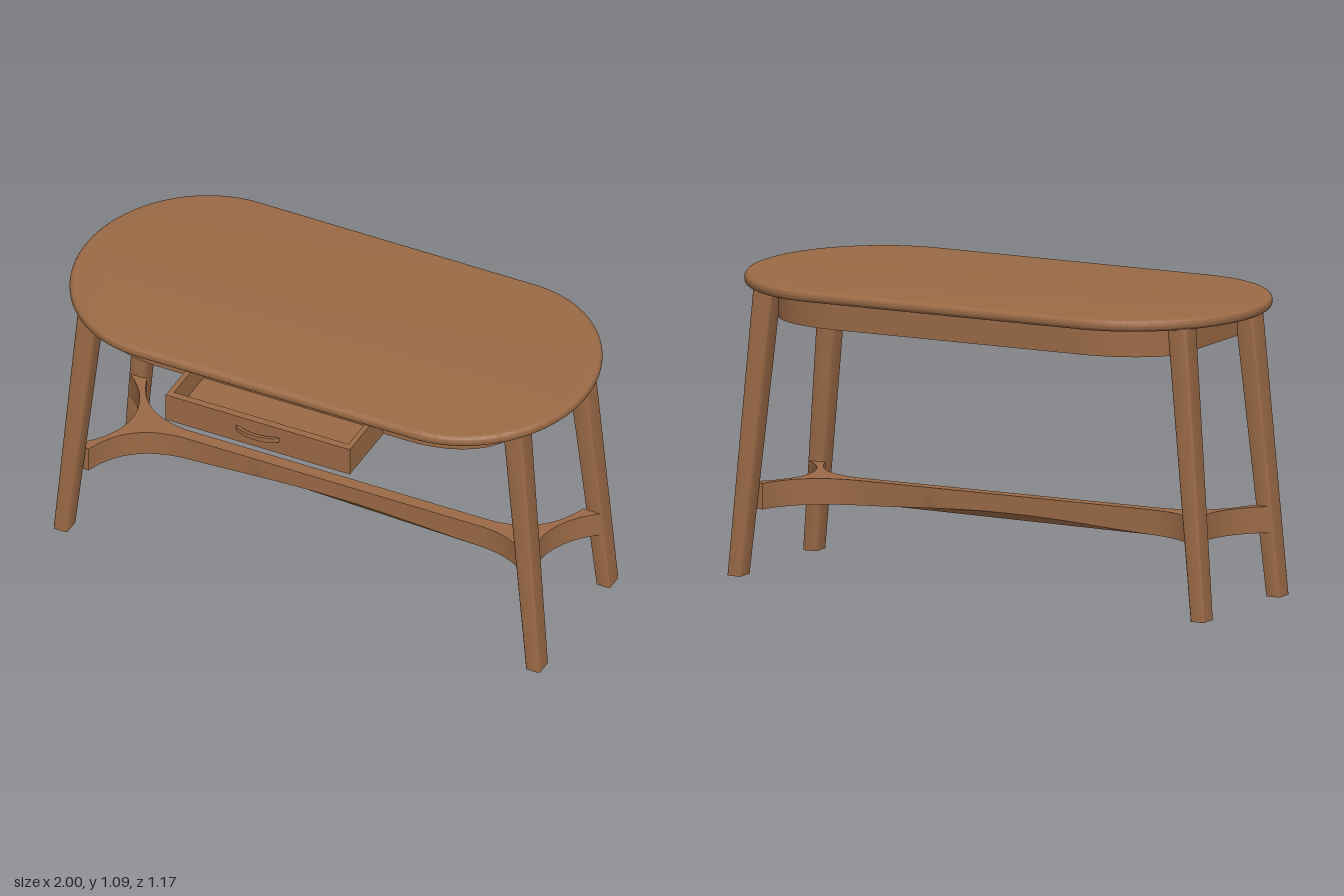
import * as THREE from 'three';
import { toCreasedNormals } from 'three/addons/utils/BufferGeometryUtils.js';

const wood = new THREE.MeshStandardMaterial({ color: 0x9b6a46 });

function addMesh(parent, name, geometry, x = 0, y = 0, z = 0) {
  const mesh = new THREE.Mesh(geometry, wood);
  mesh.name = name;
  mesh.position.set(x, y, z);
  parent.add(mesh);
  return mesh;
}

// Rectangle with elliptical corners, half sizes hx, hy and corner radii rx, ry
function roundedOutline(hx, hy, rx, ry, Type = THREE.Shape) {
  const s = new Type();
  const a = hx - rx, b = hy - ry, q = Math.PI / 2;
  [[a, b], [-a, b], [-a, -b], [a, -b]].forEach(([x, y], i) => {
    const sx = x + rx * Math.cos(i * q), sy = y + ry * Math.sin(i * q);
    if (i === 0) s.moveTo(sx, sy); else s.lineTo(sx, sy);
    s.absellipse(x, y, rx, ry, i * q, (i + 1) * q, false, 0);
  });
  s.closePath();
  return s;
}

// Horizontal slab: shape y becomes world z, thickness goes down from y = 0
function slab(shape, depth, bevel = 0, curveSegments = 16) {
  const g = new THREE.ExtrudeGeometry(shape, {
    depth: depth - 2 * bevel, curveSegments,
    bevelEnabled: bevel > 0, bevelThickness: bevel, bevelSize: bevel,
    bevelOffset: -bevel, bevelSegments: 5,
  });
  g.rotateX(Math.PI / 2);
  g.translate(0, -bevel, 0);
  return g;
}

// Square-ish leg with softened corners, tapering and splaying to the floor
function legGeometry(sx, sz) {
  const height = 1.055;
  const g = slab(roundedOutline(0.5, 0.5, 0.16, 0.13), 1, 0, 4);
  const p = g.attributes.position;
  const mix = THREE.MathUtils.lerp;
  for (let i = 0; i < p.count; i++) {
    const t = p.getY(i) + 1; // 0 at floor, 1 at top
    p.setXYZ(i,
      sx * mix(0.9425, 0.8425, t) + p.getX(i) * mix(0.056, 0.078, t),
      t * height,
      sz * mix(0.2825, 0.248, t) + p.getZ(i) * mix(0.076, 0.086, t));
  }
  return toCreasedNormals(g, 0.6);
}

// Long beam forking at each end towards the two legs, with an arched underside
function stretcherGeometry() {
  const beam = 0.024, bx = 0.6, legX = 0.94, legZ = 0.235, inX = 0.87;
  const s = new THREE.Shape();
  const n = 24;
  const along = (dir) => {
    for (let i = 1; i <= n; i++) s.lineTo(dir * bx * (2 * i / n - 1), -dir * beam);
  };
  s.moveTo(-bx, -beam);
  along(1);
  s.quadraticCurveTo(0.81, -beam - 0.01, inX, -legZ);
  s.lineTo(legX, -legZ);
  s.bezierCurveTo(0.77, -0.1, 0.77, 0.1, legX, legZ);
  s.lineTo(inX, legZ);
  s.quadraticCurveTo(0.81, beam + 0.01, bx, beam);
  along(-1);
  s.quadraticCurveTo(-0.81, beam + 0.01, -inX, legZ);
  s.lineTo(-legX, legZ);
  s.bezierCurveTo(-0.77, 0.1, -0.77, -0.1, -legX, -legZ);
  s.lineTo(-inX, -legZ);
  s.quadraticCurveTo(-0.81, -beam - 0.01, -bx, -beam);
  const g = slab(s, 0.095);
  const p = g.attributes.position;
  for (let i = 0; i < p.count; i++) {
    const x = Math.min(1, Math.abs(p.getX(i)) / 0.8);
    if (p.getY(i) < -0.05) p.setY(i, -0.095 + 0.03 * Math.cos(x * Math.PI / 2) ** 2);
  }
  return toCreasedNormals(g, 0.6);
}

// Open tray drawer with a bowed pull on its front
function buildDrawer() {
  const drawer = new THREE.Group();
  drawer.name = 'drawer';
  const w = 0.735, h = 0.11, back = 0.27, front = 0.555, t = 0.02;
  const d = front - back, mid = (front + back) / 2, y = h / 2;
  const box = (name, bw, bh, bd, x, by, z) =>
    addMesh(drawer, name, new THREE.BoxGeometry(bw, bh, bd), x, by, z);
  box('drawerFront', w, h, 0.028, 0, y, front - 0.014);
  box('drawerBack', w, h, t, 0, y, back + t / 2);
  for (const s of [-1, 1]) box('drawerSide', t, h, d - 0.03, s * (w - t) / 2, y, mid - 0.01);
  box('drawerBottom', w - t, 0.015, d - 0.03, 0, 0.0085, mid - 0.01);

  const pull = new THREE.Shape();
  pull.moveTo(-0.09, -0.005);
  pull.bezierCurveTo(-0.06, 0.037, 0.06, 0.037, 0.09, -0.005);
  pull.lineTo(0.072, -0.005);
  pull.bezierCurveTo(0.05, 0.02, -0.05, 0.02, -0.072, -0.005);
  pull.closePath();
  addMesh(drawer, 'drawerPull', toCreasedNormals(slab(pull, 0.018), 0.6), 0, 0.069, front + 0.002);
  drawer.position.set(0.008, 0.94, 0);
  return drawer;
}

export function createModel() {
  const table = new THREE.Group();
  table.name = 'table';

  // Oval top with a rounded rim
  const top = slab(roundedOutline(1, 0.495, 0.45, 0.494), 0.042, 0.018, 32);
  addMesh(table, 'tableTop', toCreasedNormals(top, 0.7), 0, 1.09, -0.09);

  // Apron ring under the top
  const ring = roundedOutline(0.82, 0.4025, 0.32, 0.21);
  ring.holes.push(roundedOutline(0.775, 0.36, 0.28, 0.17, THREE.Path));
  addMesh(table, 'apron', toCreasedNormals(slab(ring, 0.108), 0.6), -0.02, 1.053, -0.1125);

  // Legs and stretcher share one centre line
  const base = new THREE.Group();
  base.name = 'base';
  base.position.set(-0.02, 0, -0.13);
  for (const sx of [-1, 1]) for (const sz of [-1, 1]) {
    addMesh(base, sz > 0 ? 'frontLeg' : 'backLeg', legGeometry(sx, sz));
  }
  addMesh(base, 'stretcher', stretcherGeometry(), 0, 0.33, 0);
  table.add(base);

  table.add(buildDrawer());
  return table;
}
